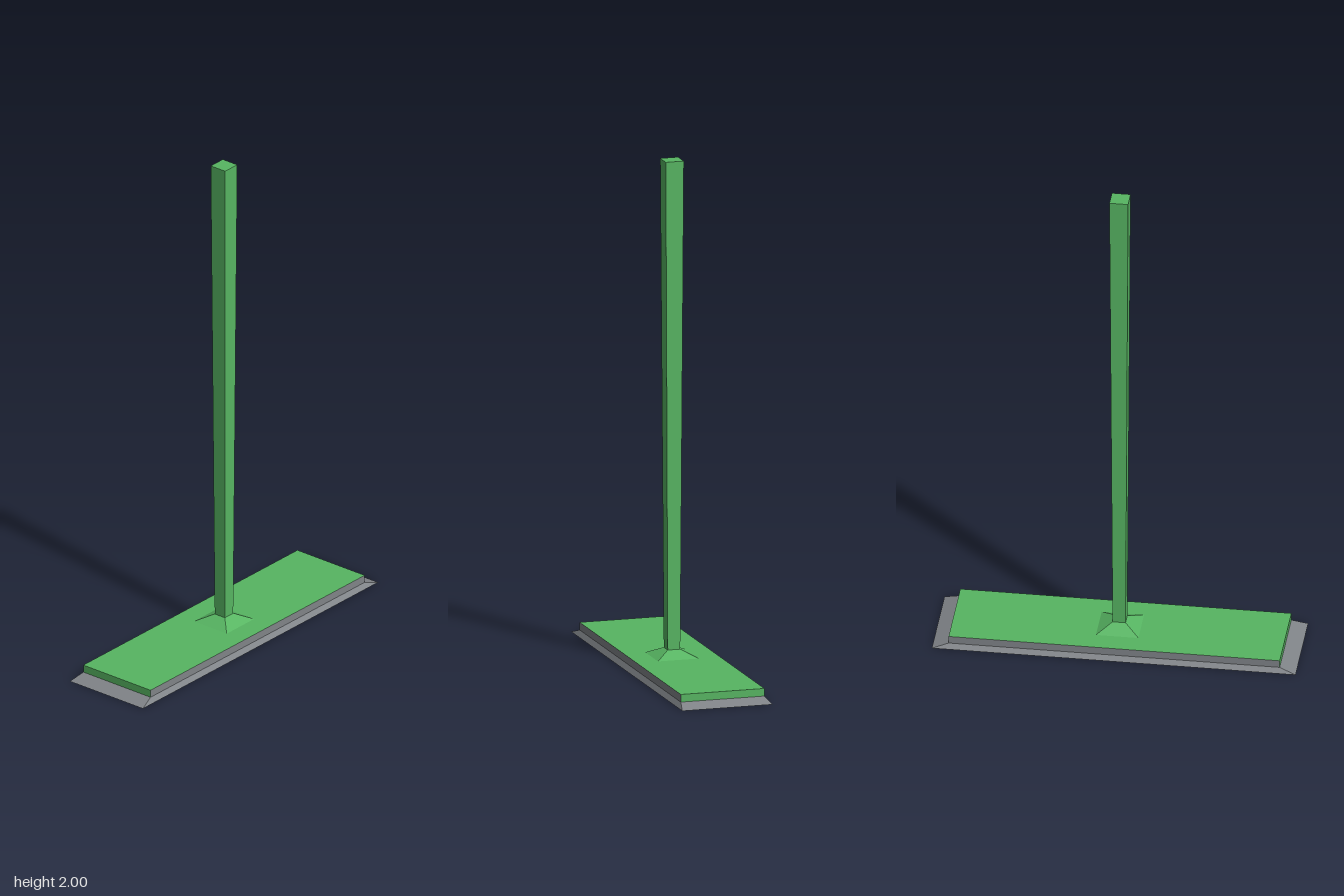
import * as THREE from 'three';

// Box whose top and bottom rectangles have their own half sizes
function taperedBox(name, y0, y1, bottom, top, material) {
  const geo = new THREE.BoxGeometry(2, 1, 2).toNonIndexed();
  const p = geo.attributes.position;
  for (let i = 0; i < p.count; i++) {
    const up = p.getY(i) > 0;
    const [hx, hz] = up ? top : bottom;
    p.setXYZ(i, Math.sign(p.getX(i)) * hx, up ? y1 : y0, Math.sign(p.getZ(i)) * hz);
  }
  geo.computeVertexNormals();
  const mesh = new THREE.Mesh(geo, material);
  mesh.name = name;
  return mesh;
}

export function createModel() {
  const green = new THREE.MeshStandardMaterial({ color: 0x57b562 });
  green.name = 'green plastic';
  const grey = new THREE.MeshStandardMaterial({ color: 0x808488 });
  grey.name = 'grey cloth';

  const group = new THREE.Group();
  group.name = 'floorMop';

  // Cloth pad with sloping edges
  group.add(taperedBox('clothPad', 0, 0.02, [0.703, 0.182], [0.64, 0.168], grey));

  // Head plate: green top and ends, cloth wrapped over the long sides
  group.add(taperedBox('headPlate', 0.02, 0.05, [0.64, 0.168], [0.64, 0.168],
    [green, green, green, grey, grey, grey]));

  // Socket and square handle, wider towards the top
  group.add(taperedBox('handleSocket', 0.05, 0.078, [0.082, 0.082], [0.026, 0.026], green));
  group.add(taperedBox('handle', 0.078, 2, [0.025, 0.025], [0.036, 0.036], green));

  return group;
}
